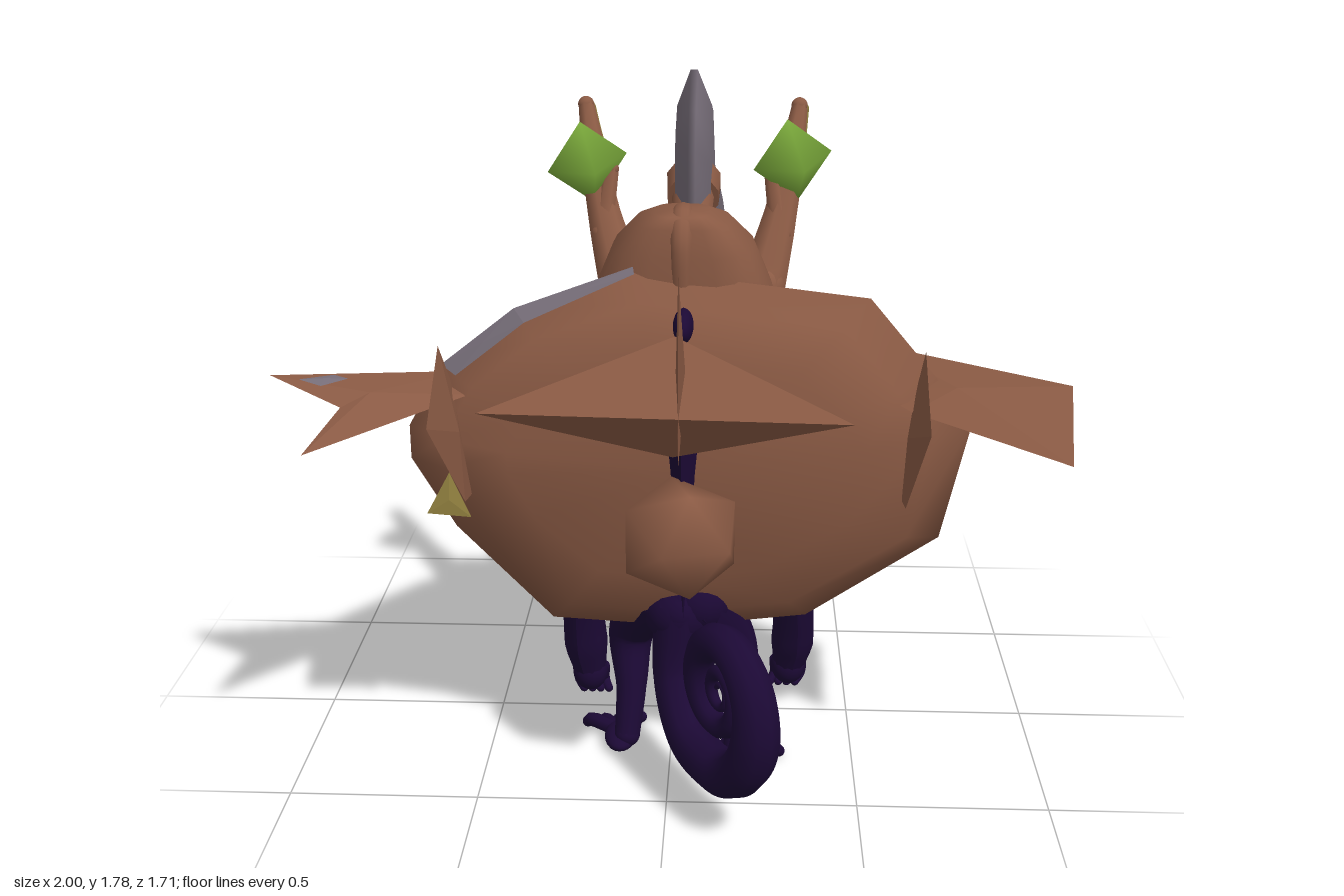
import * as THREE from 'three';
import { mergeVertices } from 'three/addons/utils/BufferGeometryUtils.js';

const paint = (name, color) => {
  const m = new THREE.MeshStandardMaterial({ color });
  m.name = name;
  return m;
};
const V = (p) => new THREE.Vector3(...p);
const lerp = THREE.MathUtils.lerp;

// Closed surface through rings of equal length, capped by fans to two end points
function loft(start, rings, end, flat = false) {
  const n = rings[0].length;
  const pos = [...start, ...rings.flat(2), ...end];
  const last = rings.length * n + 1;
  const tri = [];
  for (let i = 0; i < n; i++) {
    const j = (i + 1) % n;
    tri.push(0, 1 + j, 1 + i);
    for (let r = 0; r < rings.length - 1; r++) {
      const a = 1 + r * n, b = a + n;
      tri.push(a + i, a + j, b + i, a + j, b + j, b + i);
    }
    tri.push(last, last - n + i, last - n + j);
  }
  // turn the faces outward when the signed volume is negative
  const at = (k) => new THREE.Vector3(pos[k * 3], pos[k * 3 + 1], pos[k * 3 + 2]);
  let volume = 0;
  for (let k = 0; k < tri.length; k += 3) volume += at(tri[k]).dot(at(tri[k + 1]).cross(at(tri[k + 2])));
  if (volume < 0) tri.reverse();
  let g = new THREE.BufferGeometry();
  g.setAttribute('position', new THREE.Float32BufferAttribute(pos, 3));
  g.setIndex(tri);
  if (flat) g = g.toNonIndexed();
  g.computeVertexNormals();
  return g;
}

// Faceted plate with a raised centre on both sides
function spike(points, lift) {
  const c = [0, 1, 2].map((k) => points.reduce((s, p) => s + p[k], 0) / points.length);
  return loft(c.map((v, k) => v + lift[k]), [points], c.map((v, k) => v - lift[k]), true);
}

// Tube whose radius follows a list
function taper(points, radii, segments = 24, sides = 12) {
  const curve = new THREE.CatmullRomCurve3(points.map(V));
  const g = new THREE.TubeGeometry(curve, segments, 1, sides);
  const p = g.attributes.position;
  for (let i = 0; i <= segments; i++) {
    const c = curve.getPointAt(i / segments);
    const f = curve.getUtoTmapping(i / segments) * (radii.length - 1);
    const k = Math.min(Math.floor(f), radii.length - 2);
    const r = lerp(radii[k], radii[k + 1], f - k);
    for (let j = 0; j <= sides; j++) {
      const v = new THREE.Vector3().fromBufferAttribute(p, i * (sides + 1) + j).sub(c).multiplyScalar(r).add(c);
      p.setXYZ(i * (sides + 1) + j, v.x, v.y, v.z);
    }
  }
  g.computeVertexNormals();
  return g;
}

// Few-sided solid with soft normals
function softSolid(g) {
  g.deleteAttribute('normal');
  g.deleteAttribute('uv');
  const m = mergeVertices(g, 1e-4);
  m.computeVertexNormals();
  return m;
}

export function createModel() {
  const purple = paint('dark purple skin', 0x1c0935);
  const brown = paint('brown wood', 0x8a5a44);
  const grey = paint('grey stone', 0x766d78);
  const green = paint('leaf green', 0x7cab3c);
  const red = paint('crimson', 0xa8244a);
  const olive = paint('olive', 0x8a7a3c);
  olive.side = brown.side = THREE.DoubleSide;

  const model = new THREE.Group();
  const add = (name, g, m, p = [0, 0, 0], s = [1, 1, 1]) => {
    const mesh = new THREE.Mesh(g, m);
    mesh.name = name;
    mesh.position.set(...p);
    mesh.scale.set(...s);
    model.add(mesh);
    return mesh;
  };
  const ball = (name, m, p, s) => add(name, new THREE.SphereGeometry(1, 20, 14), m, p, s);
  const limb = (name, m, points, radii, segments, sides) => {
    add(name, taper(points, radii, segments, sides), m);
    [0, points.length - 1].forEach((i) => {
      const r = radii[i ? radii.length - 1 : 0];
      ball(name + 'End', m, points[i], [r, r, r]);
    });
  };

  // Shell shield carried on the back, thinner towards the bottom
  const rim = [[-0.58, 1.13], [-0.39, 1.28], [-0.09, 1.39], [0.5, 1.32], [0.66, 1.13], [0.77, 1.0], [0.7, 0.68],
    [0.36, 0.45], [0.03, 0.41], [-0.31, 0.43], [-0.56, 0.69], [-0.67, 0.88], [-0.67, 0.97]];
  const rimPoint = ([x, y], k, z, up = 0) => [0.04 + (x - 0.04) * k, 0.92 + (y - 0.92) * k + up,
    0.29 + (z - 0.29) * (y < 0.5 ? 0.75 : 1) + up];
  const rimRing = (k, z) => rim.map((p) => rimPoint(p, k, z));
  add('shield', loft([0.04, 0.92, 0.46],
    [rimRing(0.62, 0.43), rimRing(0.86, 0.37), rimRing(1, 0.285), rimRing(0.88, 0.21), rimRing(0.64, 0.165)],
    [0.04, 0.92, 0.15]), brown);
  [0, 1].forEach((i) => add('shieldEdgePatch', spike([rimPoint(rim[i], 1, 0.285, 0.007),
    rimPoint(rim[i + 1], 1, 0.285, 0.007), rimPoint(rim[i + 1], i ? 0.97 : 0.93, i ? 0.305 : 0.328, 0.007),
    rimPoint(rim[i], 0.93, 0.328, 0.007)], [0, 0.003, 0.003]), grey));

  // Splintered plates around the shield
  add('leftShoulderPlate', spike([[0.7, 1.1, 0.22], [0.35, 1.2, -0.02], [0.2, 1.22, 0.25]], [0, 0.02, 0]), brown);
  add('rightShoulderPlate', spike([[-0.6, 1.1, 0.26], [-0.28, 1.2, -0.02], [-0.15, 1.22, 0.25]], [0, 0.02, 0]), brown);
  add('shoulderPatch', spike([[-0.27, 1.21, -0.01], [-0.22, 1.22, 0.02], [-0.2, 1.25, 0.16], [-0.25, 1.25, 0.16]],
    [0, 0.004, 0]), grey);
  add('rightSideSpike', spike([[-1, 1.125, 0.36], [-0.53, 1.1, 0.23], [-0.5, 1.08, 0.36], [-0.85, 1.03, 0.67],
    [-0.8, 1.08, 0.47]], [0, 0.02, 0]), brown);
  add('sideSpikePatch', spike([[-0.92, 1.125, 0.39], [-0.84, 1.125, 0.35], [-0.8, 1.122, 0.37], [-0.86, 1.115, 0.41]],
    [0, 0.004, 0]), grey);
  add('leftSideSpike', spike([[0.54, 1.12, 0.02], [1, 1.12, 0.35], [0.95, 1.03, 0.67], [0.6, 1.07, 0.42],
    [0.5, 1.08, 0.25]], [0, 0.025, 0]), brown);
  add('middleSpike', spike([[-0.44, 1.13, 0.64], [0.43, 1.19, 0.85], [0.22, 1.15, 0.4], [-0.12, 1.15, 0.4]],
    [0, 0.13, -0.06]), brown);
  add('middleFin', spike([[0.04, 1.5, 0.755], [0.04, 1.05, 0.76], [0.04, 1.05, 0.42], [0.04, 1.24, 0.5]],
    [0.012, 0, 0]), brown);
  [[-0.55, 0.05], [0.62, -0.03]].forEach(([x, lean]) => add('sideFin', spike([[x - lean * 0.3, 1.22, 0.4],
    [x, 1.08, 0.3], [x + lean, 0.82, 0.38], [x + lean, 0.84, 0.48], [x, 1.1, 0.67]], [0.02, 0, 0]), brown));
  [[-0.58, 0.89, 0.03], [0.66, 0.92, 0.03]].forEach(([x, y, z]) => {
    add('leafSplinter', spike([[x - 0.055, y - 0.03, z], [x + 0.05, y - 0.03, z - 0.05], [x, y + 0.05, z + 0.06]],
      [0, 0.004, 0.004]), olive);
    add('leafTip', spike([[x - 0.03, y + 0.007, z + 0.02], [x + 0.028, y + 0.007, z], [x, y + 0.055, z + 0.065]],
      [0, 0.006, 0.006]), green);
  });
  add('frontSplinter', spike([[-0.605, 0.79, 0.44], [-0.49, 0.79, 0.46], [-0.55, 0.89, 0.41]], [0, 0.004, 0.004]), olive);
  add('backKnob', softSolid(new THREE.IcosahedronGeometry(0.155, 0).rotateZ(Math.PI / 2).rotateY(0.3)), brown,
    [0.04, 0.81, 0.61], [1.03, 1, 0.85]);

  // Narrow crest along the spine
  add('spineCrest', spike([[0.36, 1.3], [0.42, 1.335], [0.5, 1.29], [0.56, 1.2], [0.585, 1.05], [0.56, 0.88],
    [0.53, 0.72], [0.47, 0.58], [0.4, 0.49], [0.3, 0.5], [0.3, 1.28]].map(([z, y]) => [0.04, y, z]),
    [0.035, 0, 0]), purple);
  ball('crestTop', purple, [0.04, 1.29, 0.44], [0.025, 0.04, 0.07]);

  // Body and limbs
  limb('torso', purple, [[0.03, 0.47, 0.3], [0.03, 0.62, 0.23], [0.03, 0.8, 0.17], [0.03, 0.98, 0.08]],
    [0.1, 0.085, 0.11, 0.1]);
  limb('leftArm', purple, [[0.12, 0.78, 0.14], [0.27, 0.62, 0.12], [0.33, 0.42, 0.05], [0.34, 0.22, -0.02],
    [0.33, 0.13, -0.04]], [0.065, 0.05, 0.055, 0.062, 0.045]);
  limb('rightArm', purple, [[-0.06, 0.8, 0.24], [-0.18, 0.67, 0.24], [-0.21, 0.57, 0.14], [-0.25, 0.4, 0.07],
    [-0.25, 0.22, 0.03], [-0.24, 0.13, 0.02]], [0.05, 0.045, 0.045, 0.055, 0.062, 0.045]);
  limb('leftLeg', purple, [[0.08, 0.5, 0.3], [0.17, 0.34, 0.25], [0.19, 0.19, 0.34], [0.18, 0.05, 0.39]],
    [0.09, 0.065, 0.042, 0.035]);
  limb('rightLeg', purple, [[-0.02, 0.5, 0.27], [-0.11, 0.33, 0.15], [-0.11, 0.18, 0.2], [-0.12, 0.05, 0.24]],
    [0.09, 0.065, 0.042, 0.035]);
  [[0.33, -0.04, 1], [-0.24, 0.02, -1]].forEach(([x, z, side]) => {
    ball('palm', purple, [x, 0.13, z], [0.05, 0.06, 0.05]);
    for (let i = 0; i < 4; i++) {
      const fx = x + side * (i - 1.5) * 0.024;
      limb('finger', purple, [[fx, 0.13, z - 0.02], [fx, 0.08, z - 0.04], [fx - side * 0.015, 0.065, z - 0.01]],
        [0.018, 0.016, 0.012], 8, 8);
    }
  });
  [[0.18, 0.38, 1], [-0.12, 0.24, -1]].forEach(([x, z, side]) => {
    ball('foot', purple, [x + side * 0.02, 0.03, z - 0.03], [0.045, 0.028, 0.08]);
    for (let i = 0; i < 4; i++) limb('toe', purple, [[x + side * 0.02, 0.03, z - 0.05],
      [x + side * (i * 0.04 - 0.01), 0.03, z - 0.11], [x + side * (i * 0.05 - 0.03), 0.018, z - 0.15 + i * 0.01]],
      [0.022, 0.02, 0.016], 8, 8);
  });

  // Curled tail
  const tail = [[0.03, 0.48, 0.33], [0.02, 0.3, 0.36], [0.06, 0.18, 0.46]];
  const tailRadii = [0.07, 0.06, 0.06];
  for (let a = -0.1; a < 17; a += 0.35) {
    const r = 0.22 * Math.exp(-0.14 * a), u = r * Math.sin(a) * 0.92;
    tail.push([0.14 + u * 0.54, 0.385 - r * Math.cos(a), 0.605 + u * 0.8]);
    tailRadii.push(Math.min(0.062, r * 0.34));
  }
  limb('tail', purple, tail, tailRadii, 170, 10);

  // Head, eyes and tusks
  ball('head', purple, [0.02, 1.05, 0], [0.19, 0.18, 0.165]);
  ball('jaw', purple, [0.03, 0.95, -0.05], [0.155, 0.125, 0.135]);
  [-1, 1].forEach((s) => {
    ball('eye', brown, [0.02 + s * 0.1, 1.12, -0.1], [0.055, 0.055, 0.05]);
    ball('eyeLid', grey, [0.02 + s * 0.105, 1.125, -0.13], [0.04, 0.022, 0.024]);
    ball('pupil', purple, [0.02 + s * 0.105, 1.12, -0.14], [0.02, 0.025, 0.018]);
    ball('cheekPatch', brown, [0.02 + s * 0.175, 1.1, -0.02], [0.02, 0.03, 0.045]);
    ball('cheekSpot', purple, [0.02 + s * 0.19, 1.1, -0.02], [0.012, 0.016, 0.025]);
    ball('mouthCorner', olive, [0.03 + s * 0.13, 0.9, 0.02], [0.02, 0.022, 0.05]);
    add('tusk', new THREE.ConeGeometry(0.028, 0.15, 10), grey, [0.05 + s * 0.08, 0.915, -0.175])
      .rotation.x = Math.PI;
  });

  // Helmet with ridge and brow bar, boxy in plan
  const boxy = (v) => Math.sign(v) * Math.abs(v) ** 0.65;
  const helmet = [[1.18, 0.3, -0.15, 0.25], [1.3, 0.31, -0.12, 0.23], [1.42, 0.31, -0.06, 0.18],
    [1.49, 0.3, 0.03, 0.12], [1.52, 0.29, 0.12, 0.07]].map(([y, back, front, w]) =>
    Array.from({ length: 24 }, (_, i) => {
      const a = (i / 24) * Math.PI * 2;
      return [0.03 + w * boxy(Math.cos(a)), y, (back + front) / 2 + ((back - front) / 2) * boxy(Math.sin(a))];
    }));
  add('helmet', loft([0.03, 1.18, 0.08], helmet, [0.03, 1.53, 0.22]), brown);
  limb('helmetRidge', brown, [[0.03, 1.25, 0.285], [0.03, 1.495, 0.275], [0.03, 1.46, 0.05], [0.03, 1.26, -0.11]],
    [0.025, 0.03, 0.03, 0.025]);
  limb('browBar', brown, [[-0.19, 1.22, -0.03], [0.03, 1.24, -0.14], [0.26, 1.25, -0.04]], [0.035, 0.04, 0.035]);
  add('browLeaf', new THREE.OctahedronGeometry(0.05, 0), green, [0.09, 1.29, -0.145], [1.5, 0.8, 0.6]);

  // Branch antlers with leaf clusters
  [[-0.14, -0.25, -0.235, 1.58], [0.23, 0.33, 0.31, 1.59]].forEach(([x0, x1, leafX, leafY]) => {
    const xm = (x0 + x1) / 2, xt = lerp(x0, x1, 0.8);
    limb('antler', brown, [[x0, 1.27, 0], [xm, 1.45, -0.1], [xt, 1.6, -0.19], [x1, 1.71, -0.255]],
      [0.065, 0.045, 0.034, 0.022], 10, 7);
    limb('antlerTip', olive, [[xt + 0.008, 1.59, -0.2], [x1 + 0.006, 1.7, -0.262]], [0.03, 0.02], 2, 6);
    limb('antlerTwig', brown, [[xm, 1.4, -0.06], [lerp(xm, 0.03, 0.1), 1.56, -0.12]], [0.03, 0.02], 4, 6);
    add('leafCluster', softSolid(new THREE.OctahedronGeometry(0.115, 0)), green, [leafX, leafY, -0.1], [0.95, 1, 0.85])
      .rotation.set(0.15, 0.3, 0.15);
  });

  // Stone blade with a thick hooked tusk behind it
  const edge = [[-0.23, 1.7], [-0.4, 1.785], [-0.67, 1.72], [-0.67, 1.44], [-0.74, 1.3], [-0.77, 0.9],
    [-0.66, 1.01], [-0.53, 1.04], [-0.3, 1.18], [-0.17, 1.34], [-0.16, 1.6]];
  const bladeRing = (k, x) => edge.map(([z, y]) => [0.04 + x, 1.42 + (y - 1.42) * k, -0.6 + (z + 0.6) * k]);
  add('stoneBlade', loft([-0.02, 1.42, -0.6], [bladeRing(0.7, -0.05), bladeRing(1, -0.01), bladeRing(1, 0.01),
    bladeRing(0.7, 0.05)], [0.1, 1.42, -0.6]), grey);
  limb('bladeTusk', grey, [[0.04, 1.56, -0.5], [0.04, 1.42, -0.59], [0.04, 1.25, -0.69], [0.04, 0.98, -0.75],
    [0.04, 0.735, -0.79]], [0.02, 0.075, 0.095, 0.05, 0.004], 12, 8);
  limb('handle', brown, [[0.04, 1.3, -0.03], [0.04, 1.39, -0.2], [0.04, 1.45, -0.35]], [0.055, 0.052, 0.06], 8, 10);
  add('handleCollar', new THREE.CylinderGeometry(0.08, 0.075, 0.09, 10), brown, [0.04, 1.455, -0.37])
    .rotation.x = -1.2;
  limb('stick', brown, [[0.04, 1.03, -0.16], [0.04, 1.14, -0.42], [0.04, 1.31, -0.78]], [0.014, 0.02, 0.026], 8, 8);
  add('stickKnob', new THREE.CylinderGeometry(0.046, 0.036, 0.08, 6), brown, [0.04, 1.335, -0.8], [0.75, 1, 1])
    .rotation.x = -1.1;

  // Red fruit hanging before the face
  const fruit = softSolid(new THREE.IcosahedronGeometry(0.185, 0).rotateX(Math.PI / 2));
  add('fruit', fruit, red, [0.03, 0.7, -0.46], [1, 0.9, 1.05]);
  return model;
}
